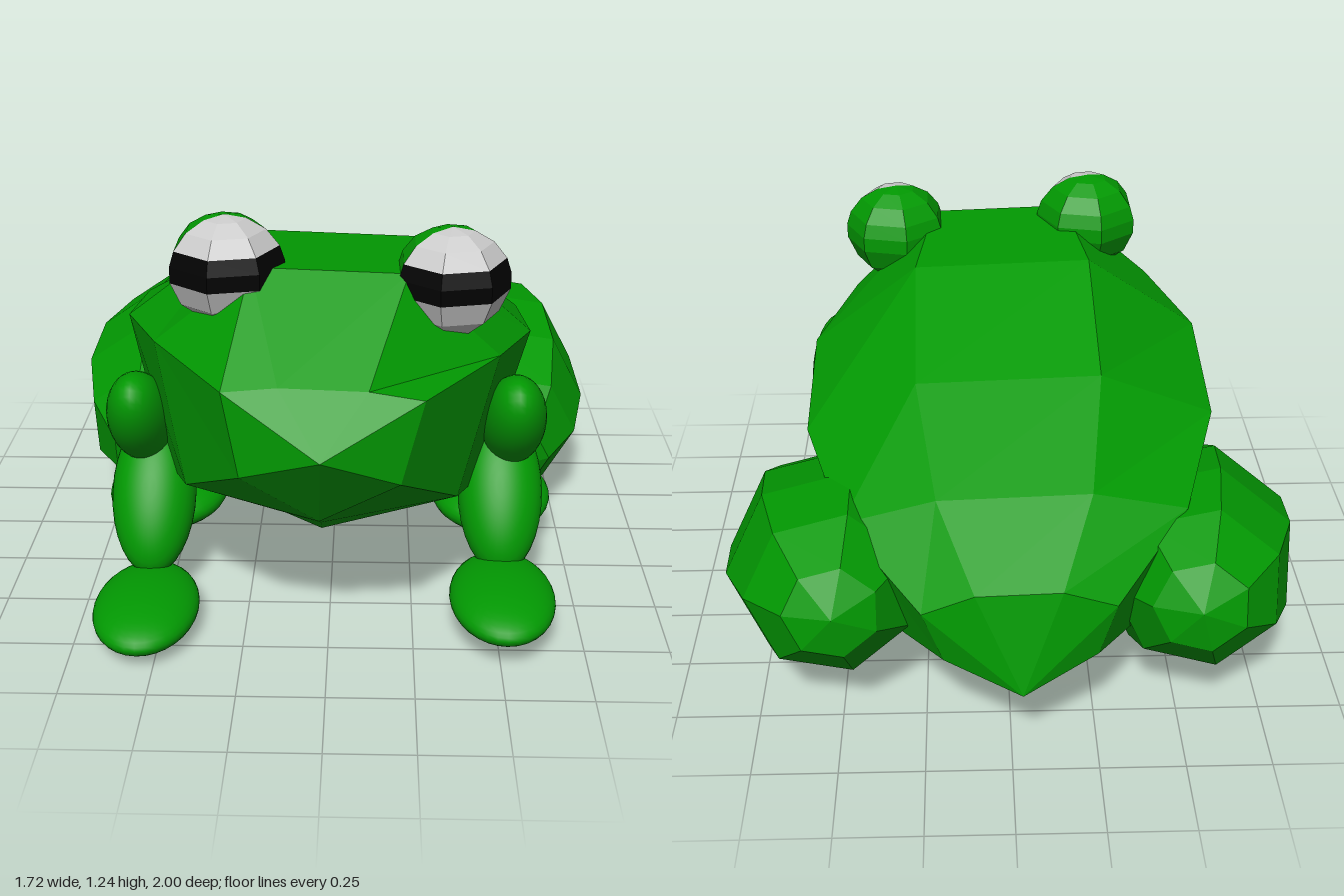
import * as THREE from 'three';

const GREEN = 0x029902;
const green = new THREE.MeshStandardMaterial({ color: GREEN });
const greenFlat = new THREE.MeshStandardMaterial({ color: GREEN, flatShading: true });
const greyFlat = new THREE.MeshStandardMaterial({ color: 0xcccccc, flatShading: true });
const blackFlat = new THREE.MeshStandardMaterial({ color: 0x020202, flatShading: true });

function addMesh(parent, name, geometry, material) {
  const mesh = new THREE.Mesh(geometry, material);
  mesh.name = name;
  parent.add(mesh);
  return mesh;
}

// Seven-sided body: rings run from nose to rump, each with
// one bottom point and mirrored lower, side and top points.
function bodyGeometry() {
  // half width, then [y, z] of bottom, lower, side and top points
  const rings = [
    [0, [0.72, 1], [0.72, 1], [0.72, 1], [0.72, 1]],
    [0.28, [0.44, 0.79], [0.62, 0.9], [0.86, 0.88], [0.875, 0.87]],
    [0.51, [0.28, 0.5], [0.43, 0.58], [0.855, 0.52], [1.1, 0.55]],
    [0.635, [0.13, 0.26], [0.32, 0.22], [0.81, 0.19], [1.08, 0.13]],
    [0.635, [0.01, -0.12], [0.22, -0.2], [0.73, -0.26], [0.91, -0.33]],
    [0.51, [0.07, -0.5], [0.25, -0.6], [0.64, -0.65], [0.735, -0.7]],
    [0.28, [0.245, -0.86], [0.33, -0.9], [0.5, -0.91], [0.575, -0.94]],
    [0, [0.27, -1], [0.27, -1], [0.27, -1], [0.27, -1]],
  ];
  const last = rings.length - 1;
  const positions = [];
  const index = [];
  rings.forEach(([w, bottom, lower, side, top], i) => {
    [bottom, lower, side, top, top, side, lower].forEach(([y, z], k) => {
      positions.push(w * Math.sin((k * 2 * Math.PI) / 7), y, z);
    });
    for (let k = 0; k < 7 && i < last; k++) {
      const a = i * 7 + k;
      const b = i * 7 + ((k + 1) % 7);
      if (i > 0) index.push(a, a + 7, b);
      if (i < last - 1) index.push(b, a + 7, b + 7);
    }
  });
  const geometry = new THREE.BufferGeometry();
  geometry.setAttribute('position', new THREE.Float32BufferAttribute(positions, 3));
  geometry.setIndex(index);
  const flat = geometry.toNonIndexed();
  flat.computeVertexNormals();
  return flat;
}

// Eyeball with a faceted green lid behind and a banded front
function addEye(parent, name, x, y) {
  const eye = new THREE.Group();
  eye.name = name;
  eye.position.set(x, y, 0.485);
  eye.scale.y = 0.92;
  parent.add(eye);
  const s = Math.PI / 7;
  const zones = [
    ['eyeTop', greyFlat, 0, 0.36, 3],
    ['pupilBand', blackFlat, 0.36, 0.55, 1],
    ['eyeBottom', greyFlat, 0.55, 1, 3],
  ];
  for (const [part, material, from, to, rows] of zones) {
    const slice = (columns, start) =>
      new THREE.SphereGeometry(0.17, columns, rows, start * s, columns * 2 * s, from * Math.PI, (to - from) * Math.PI);
    addMesh(eye, part, slice(3, 1), material);
    addMesh(eye, 'eyelid', slice(4, 7), greenFlat);
  }
}

export function createModel() {
  const frog = new THREE.Group();
  frog.name = 'frog';

  // The body leans slightly to one side
  const body = addMesh(frog, 'body', bodyGeometry(), greenFlat);
  body.rotation.z = -0.035;
  body.position.x = -0.038;

  addEye(frog, 'rightEye', -0.295, 1.085);
  addEye(frog, 'leftEye', 0.345, 1.053);

  const smooth = new THREE.SphereGeometry(1, 32, 20);
  const faceted = new THREE.SphereGeometry(1, 7, 7, Math.PI).rotateX(Math.PI / 2);

  // Limbs are stretched spheres; tilt turns the long z axis
  function limb(name, geometry, material, position, scale, tilt = 0, yaw = 0) {
    const mesh = addMesh(frog, name, geometry, material);
    mesh.position.set(...position);
    mesh.scale.set(...scale);
    mesh.rotation.set(tilt, yaw, 0);
  }

  for (const side of [-1, 1]) {
    const label = side > 0 ? 'left' : 'right';
    const lift = side > 0 ? 0.04 : 0; // the left forefoot stands a little higher
    const inset = side > 0 ? 0.03 : 0;
    const at = (x, y, z) => [side * (x - inset), y, z];
    limb(label + 'Thigh', faceted, greenFlat, at(0.57, 0.365, -0.435), [0.32, 0.315, 0.505], 0.24, side * 0.08);
    limb(label + 'HindFoot', smooth, green, at(0.55, 0.155, 0.04), [0.195, 0.08, 0.23], 0.05);
    limb(label + 'UpperArm', smooth, green, at(0.582, 0.565, 0.363), [0.098, 0.12, 0.222], -0.76);
    limb(label + 'Forearm', smooth, green, at(0.55, 0.305 + lift / 2, 0.362), [0.13, 0.115, 0.255], 0.96);
    limb(label + 'FrontFoot', smooth, green, at(0.545, 0.07 + lift, 0.65 - inset / 2), [0.157, 0.07, 0.245]);
  }
  return frog;
}
